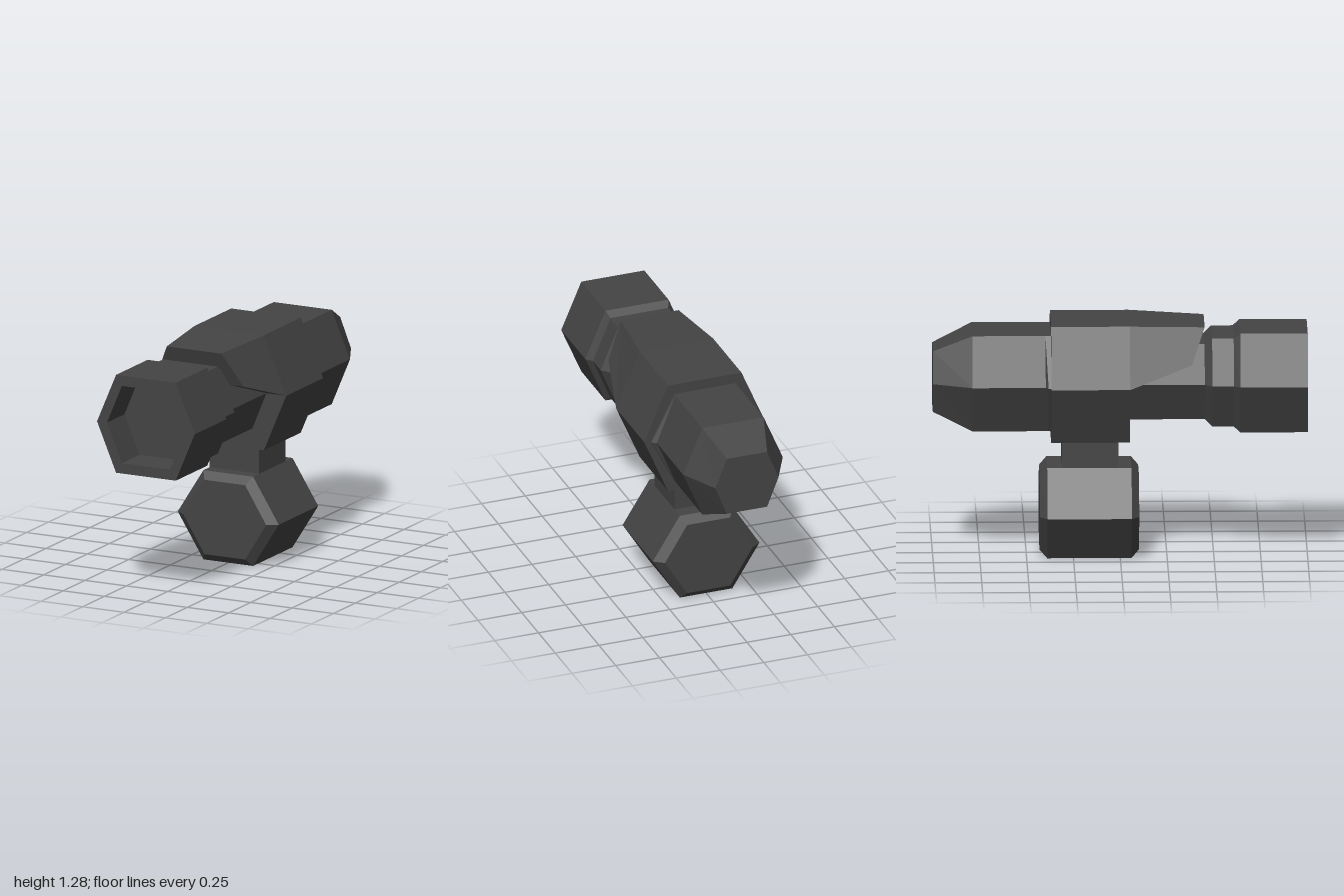
import * as THREE from 'three';

// Solid skinned over rings of points, listed from back to front,
// each ring counter-clockwise as seen from the front
function loft(rings) {
  const pos = [];
  const tri = (a, b, c) => pos.push(...a, ...b, ...c);
  const n = rings[0].length;
  for (let i = 0; i < rings.length - 1; i++) {
    for (let j = 0; j < n; j++) {
      const k = (j + 1) % n;
      const [a, b, c, d] = [rings[i][j], rings[i][k], rings[i + 1][k], rings[i + 1][j]];
      tri(a, b, c);
      tri(a, c, d);
    }
  }
  const first = rings[0], last = rings[rings.length - 1];
  for (let j = 1; j < n - 1; j++) {
    tri(first[0], first[j + 1], first[j]);
    tri(last[0], last[j], last[j + 1]);
  }
  const geo = new THREE.BufferGeometry();
  geo.setAttribute('position', new THREE.Float32BufferAttribute(pos, 3));
  geo.computeVertexNormals();
  return geo;
}

// Hexagon: side corners at +-w, flats at +-h with half length t
const hex = (y, [z, w, h, t]) => [
  [w, y, z], [t, y + h, z], [-t, y + h, z],
  [-w, y, z], [-t, y - h, z], [t, y - h, z],
];
const hexLoft = (y, sections) => loft(sections.map((s) => hex(y, s)));

export function createModel() {
  const group = new THREE.Group();
  const darkGrey = new THREE.MeshStandardMaterial({ color: 0x444444 });
  darkGrey.name = 'darkGrey';
  const add = (name, geo) => {
    const mesh = new THREE.Mesh(geo, darkGrey);
    mesh.name = name;
    group.add(mesh);
    return mesh;
  };
  const axis = 0.96;

  // Front tube: neck, stepped collar, and hollow muzzle
  add('frontTube', hexLoft(axis, [
    [0, 0.225, 0.205, 0.14],
    [0.45, 0.225, 0.205, 0.14],
    [0.49, 0.265, 0.24, 0.165],
    [0.605, 0.265, 0.24, 0.165],
    [0.64, 0.295, 0.27, 0.18],
    [1, 0.295, 0.27, 0.18],
    [1, 0.235, 0.213, 0.145],
    [0.8, 0.235, 0.213, 0.145],
  ]));

  // Main housing
  add('housing', hexLoft(axis, [
    [-0.37, 0.345, 0.317, 0.21],
    [0.05, 0.345, 0.317, 0.21],
  ]));

  // Hood reaching forward over the neck
  add('hood', loft([
    [[0.345, 0.96, 0.05], [0.21, 1.277, 0.05], [-0.21, 1.277, 0.05], [-0.345, 0.96, 0.05]],
    [[0.263, 1.075, 0.38], [0.165, 1.262, 0.45], [-0.165, 1.262, 0.45], [-0.263, 1.075, 0.38]],
  ]));

  // Tapered rear section
  add('rearSection', hexLoft(axis, [
    [-1, 0.18, 0.165, 0.115],
    [-0.79, 0.285, 0.26, 0.175],
    [-0.4, 0.285, 0.26, 0.175],
    [-0.385, 0.31, 0.26, 0.175],
    [-0.36, 0.31, 0.26, 0.175],
  ]));

  // Post joining the housing to the foot
  add('post', new THREE.BoxGeometry(0.3, 0.3, 0.3)).position.set(0, 0.57, -0.16);

  // Chamfered hexagonal foot
  add('foot', hexLoft(0.246, [
    [-0.43, 0.25, 0.205, 0.123],
    [-0.39, 0.305, 0.246, 0.15],
    [0.06, 0.305, 0.246, 0.15],
    [0.1, 0.25, 0.205, 0.123],
  ]));

  return group;
}
